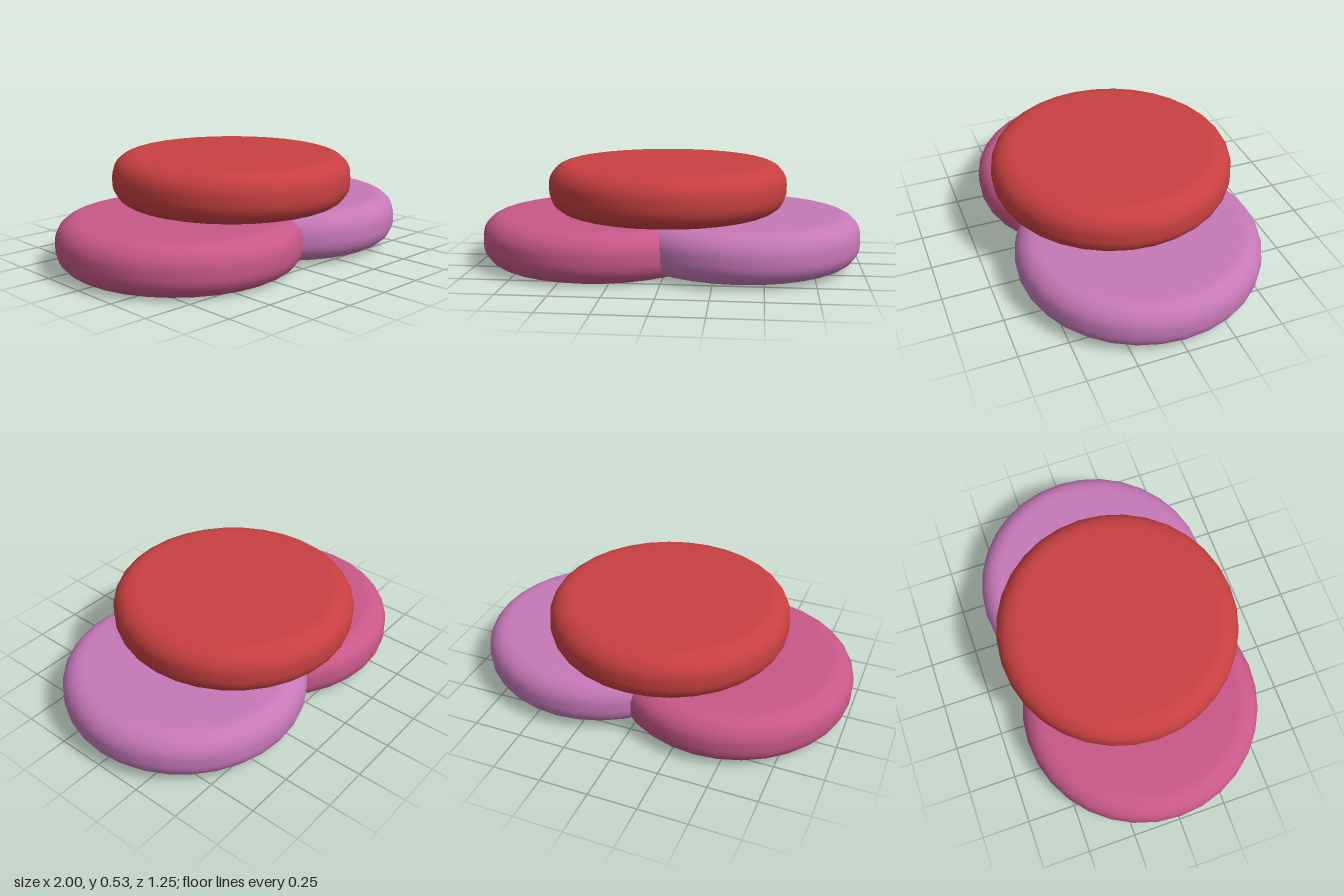
import * as THREE from 'three';

const RADIUS = 0.625, HEIGHT = 0.255, ROUND = 0.11;

// Pebble-like disc: flat faces with a rounded rim, standing on y = 0
function discGeometry() {
  const points = [new THREE.Vector2(0, 0), new THREE.Vector2(RADIUS - ROUND - 0.01, 0)];
  const steps = 8;
  for (const [cy, start] of [[ROUND, -Math.PI / 2], [HEIGHT - ROUND, 0]]) {
    for (let i = 0; i <= steps; i++) {
      const a = start + (i / steps) * Math.PI / 2;
      points.push(new THREE.Vector2(RADIUS - ROUND + Math.cos(a) * ROUND, cy + Math.sin(a) * ROUND));
    }
  }
  points.push(new THREE.Vector2(RADIUS - ROUND - 0.01, HEIGHT), new THREE.Vector2(0, HEIGHT));
  return new THREE.LatheGeometry(points, 32);
}

export function createModel() {
  const group = new THREE.Group();
  group.name = 'stackedDiscs';
  const geometry = discGeometry();

  // Two overlapping discs below, one resting on top
  const discs = [
    ['rightLowerDisc', 0xc8588a, -0.375, 0.0],
    ['leftLowerDisc', 0xc678b8, 0.372, 0.015],
    ['upperDisc', 0xc84040, -0.015, 0.276],
  ];
  for (const [name, color, x, y] of discs) {
    const mesh = new THREE.Mesh(geometry, new THREE.MeshStandardMaterial({ color }));
    mesh.name = name;
    mesh.position.set(x, y, 0);
    group.add(mesh);
  }
  return group;
}
